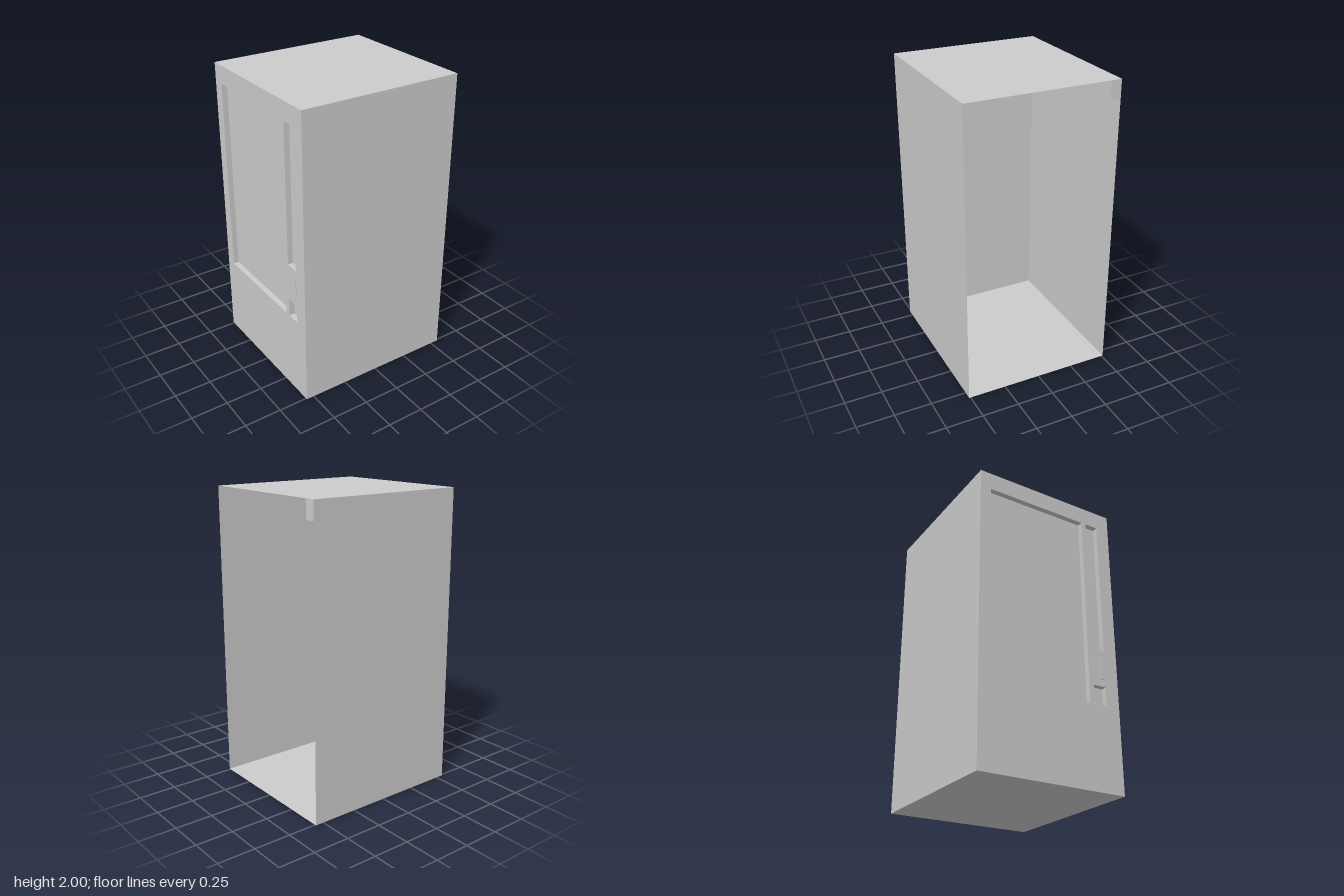
import * as THREE from 'three';

const material = new THREE.MeshStandardMaterial({ color: 0xcccccc, side: THREE.DoubleSide });
const FACES = ['+x', '-x', '+y', '-y', '+z', '-z'];

// Outer cabinet limits
const LEFT = 0.557, RIGHT = -0.553, HEIGHT = 2, HALF_DEPTH = 0.51;
const RECESS = 0.037;

// Box between two corners, leaving out the listed faces
function openBox(name, [x0, y0, z0], [x1, y1, z1], skipped = []) {
  const geometry = new THREE.BoxGeometry(x1 - x0, y1 - y0, z1 - z0);
  const all = Array.from(geometry.index.array);
  geometry.setIndex(all.filter((_, i) => !skipped.includes(FACES[Math.floor(i / 6)])));
  geometry.clearGroups();
  geometry.translate((x0 + x1) / 2, (y0 + y1) / 2, (z0 + z1) / 2);
  const mesh = new THREE.Mesh(geometry, material);
  mesh.name = name;
  return mesh;
}

// Rectangle outline in the (z, y) plane
function trace(path, z0, y0, z1, y1) {
  path.moveTo(z0, y0);
  path.lineTo(z1, y0);
  path.lineTo(z1, y1);
  path.lineTo(z0, y1);
  path.closePath();
  return path;
}

export function createModel() {
  const group = new THREE.Group();
  group.name = 'vendingCabinet';

  // Thin shell: top, floor, front and back walls; the +x side is open
  group.add(openBox('cabinetShell', [RIGHT, 0, -HALF_DEPTH], [LEFT, HEIGHT, HALF_DEPTH], ['+x', '-x']));

  // Recessed areas of the service side: z0, y0, z1, y1
  const recesses = {
    displayWindow: [-0.435, 0.555, 0.285, 1.88],
    selectionSlot: [0.32, 0.935, 0.412, 1.88],
    coinReturn: [0.32, 0.555, 0.412, 0.685],
  };

  // Service side panel with cut-outs
  const outline = trace(new THREE.Shape(), -HALF_DEPTH, 0, HALF_DEPTH, HEIGHT);
  for (const [name, r] of Object.entries(recesses)) {
    outline.holes.push(trace(new THREE.Path(), ...r));
    group.add(openBox(name, [RIGHT, r[1], r[0]], [RIGHT + RECESS, r[3], r[2]], ['-x']));
  }
  const panel = new THREE.Mesh(new THREE.ShapeGeometry(outline), material);
  panel.geometry.rotateY(-Math.PI / 2);
  panel.position.x = RIGHT;
  panel.name = 'servicePanel';
  group.add(panel);

  // Shallow raised plate between the slot and the coin return
  group.add(openBox('coinPlate', [RIGHT - 0.004, 0.735, 0.375], [RIGHT, 0.885, 0.412], ['+x']));

  // Small corner tab at the top of the open side
  const tab = new THREE.Mesh(new THREE.PlaneGeometry(0.072, 0.12), material);
  tab.rotation.y = Math.PI / 2;
  tab.position.set(LEFT, HEIGHT - 0.06, -HALF_DEPTH + 0.036);
  tab.name = 'cornerTab';
  group.add(tab);

  return group;
}
